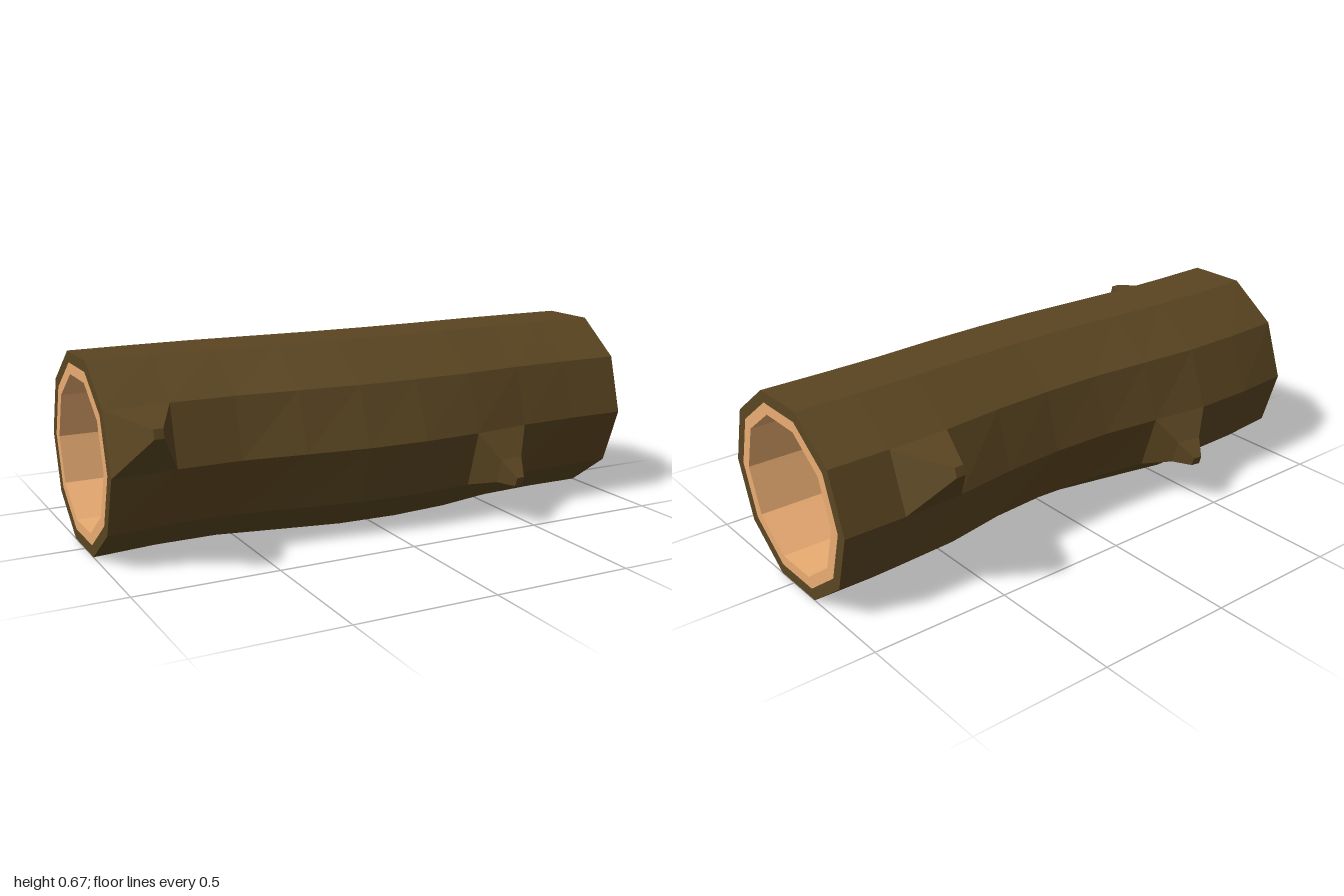
import * as THREE from 'three';

const SIDES = 10, MID_Y = 0.333;
const R_BARK = 0.35, R_RIM = 0.31, R_HOLLOW = 0.27;
// sideways drift of the log's centre line at evenly spaced stations
const DRIFT = [0, -0.017, -0.018, 0.01, 0.037, 0.042, 0.029, -0.002, -0.012, -0.012];
const LAST = DRIFT.length - 1;

// corner j of the ring with radius r at station i
function point(i, j, r) {
  const a = (j % SIDES) * Math.PI * 2 / SIDES;
  const dy = r * Math.sin(a), c = DRIFT[i];
  const z = c + dy * (0.025 - 1.75 * c) + r * Math.cos(a);
  return new THREE.Vector3(-1 + 2 * i / LAST, MID_Y + dy, z);
}

// collects quads into one flat-shaded mesh
function quadMesh(name, color, build) {
  const pos = [];
  build((a, b, c, d) => [a, b, c, a, c, d].forEach(p => pos.push(p.x, p.y, p.z)));
  const geo = new THREE.BufferGeometry();
  geo.setAttribute('position', new THREE.Float32BufferAttribute(pos, 3));
  geo.computeVertexNormals();
  const mesh = new THREE.Mesh(geo, new THREE.MeshStandardMaterial({ color, flatShading: true }));
  mesh.name = name;
  return mesh;
}

// outer wall panel between two stations
const panel = (i, j) => [
  point(i, j, R_BARK), point(i + 1, j, R_BARK),
  point(i + 1, j + 1, R_BARK), point(i, j + 1, R_BARK)];

// flat ring at both ends of the log
function endRings(quad, rOut, rIn) {
  for (let j = 0; j < SIDES; j++) {
    for (const i of [0, LAST]) {
      const q = [point(i, j + 1, rOut), point(i, j, rOut), point(i, j, rIn), point(i, j + 1, rIn)];
      quad(...(i ? q : q.reverse()));
    }
  }
}

// branch stub: a panel drawn out to a small blunt tip
function stub(quad, base, tip, curved) {
  const centre = base.reduce((s, p) => s.add(p), new THREE.Vector3()).multiplyScalar(0.25);
  const top = base.map(p => p.clone().sub(centre).multiplyScalar(0.15).add(tip));
  const rings = [base, top];
  if (curved) {
    const axis = centre.clone().lerp(tip, 0.55);
    rings.splice(1, 0, base.map((p, k) => p.clone().lerp(top[k], 0.55).lerp(axis, 0.2)));
  }
  for (let n = 0; n < rings.length - 1; n++) {
    for (let k = 0; k < 4; k++) {
      const m = (k + 1) % 4;
      quad(rings[n][k], rings[n][m], rings[n + 1][m], rings[n + 1][k]);
    }
  }
  quad(...top);
}

const STUBS = [
  { name: 'frontUpperStub', i: 0, j: 0, tip: [-0.89, 0.497, 0.495] },
  { name: 'frontLowerStub', i: 6, j: 9, tip: [0.44, 0.168, 0.487], curved: true },
  { name: 'backUpperStub', i: 7, j: 4, tip: [0.66, 0.508, -0.493] },
  { name: 'backLowerStub', i: 2, j: 5, tip: [-0.435, 0.18, -0.459], curved: true },
];

export function createModel() {
  const log = new THREE.Group();
  log.name = 'hollowLog';
  const barkColor = 0x5a4521, woodColor = 0xeaac72;

  // bark wall, leaving out the panels that become stubs
  log.add(quadMesh('bark', barkColor, quad => {
    for (let i = 0; i < LAST; i++) {
      for (let j = 0; j < SIDES; j++) {
        if (!STUBS.some(s => s.i === i && s.j === j)) quad(...panel(i, j));
      }
    }
    endRings(quad, R_BARK, R_RIM);
  }));

  // branch stubs
  for (const s of STUBS) {
    log.add(quadMesh(s.name, barkColor, quad =>
      stub(quad, panel(s.i, s.j), new THREE.Vector3(...s.tip), s.curved)));
  }

  // pale wood rims and the straight hollow through the log
  log.add(quadMesh('innerWood', woodColor, quad => {
    endRings(quad, R_RIM, R_HOLLOW);
    for (let j = 0; j < SIDES; j++) {
      quad(point(0, j, R_HOLLOW), point(0, j + 1, R_HOLLOW),
        point(LAST, j + 1, R_HOLLOW), point(LAST, j, R_HOLLOW));
    }
  }));
  return log;
}
